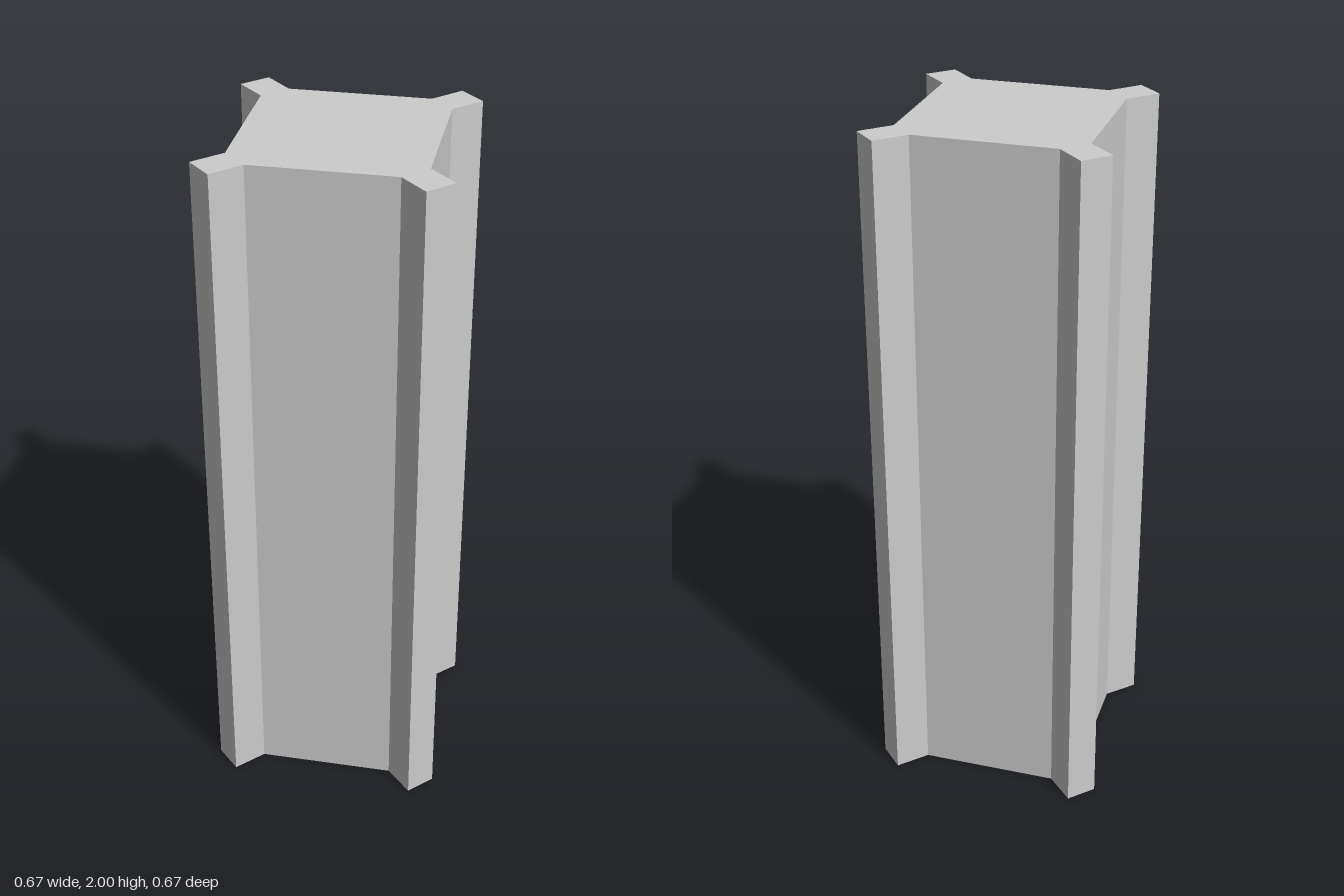
import * as THREE from 'three';

const HEIGHT = 2;

export function createModel() {
  const group = new THREE.Group();
  group.name = 'finnedColumn';

  // One diagonal corner fin in plan, repeated every quarter turn
  const fin = [[0.263, 0.199], [0.337, 0.272], [0.272, 0.337], [0.199, 0.263]];
  const outline = [];
  for (let i = 0; i < 4; i++) {
    for (const [x, y] of fin) {
      outline.push(new THREE.Vector2(x, y).rotateAround(new THREE.Vector2(), i * Math.PI / 2));
    }
  }

  // Square shaft and its four fins extruded upwards as one solid
  const geometry = new THREE.ExtrudeGeometry(new THREE.Shape(outline), { depth: HEIGHT, bevelEnabled: false });
  geometry.rotateX(-Math.PI / 2);

  const column = new THREE.Mesh(geometry, new THREE.MeshStandardMaterial({ color: 0xcccccc, flatShading: true }));
  column.name = 'columnShaft';
  group.add(column);
  return group;
}
